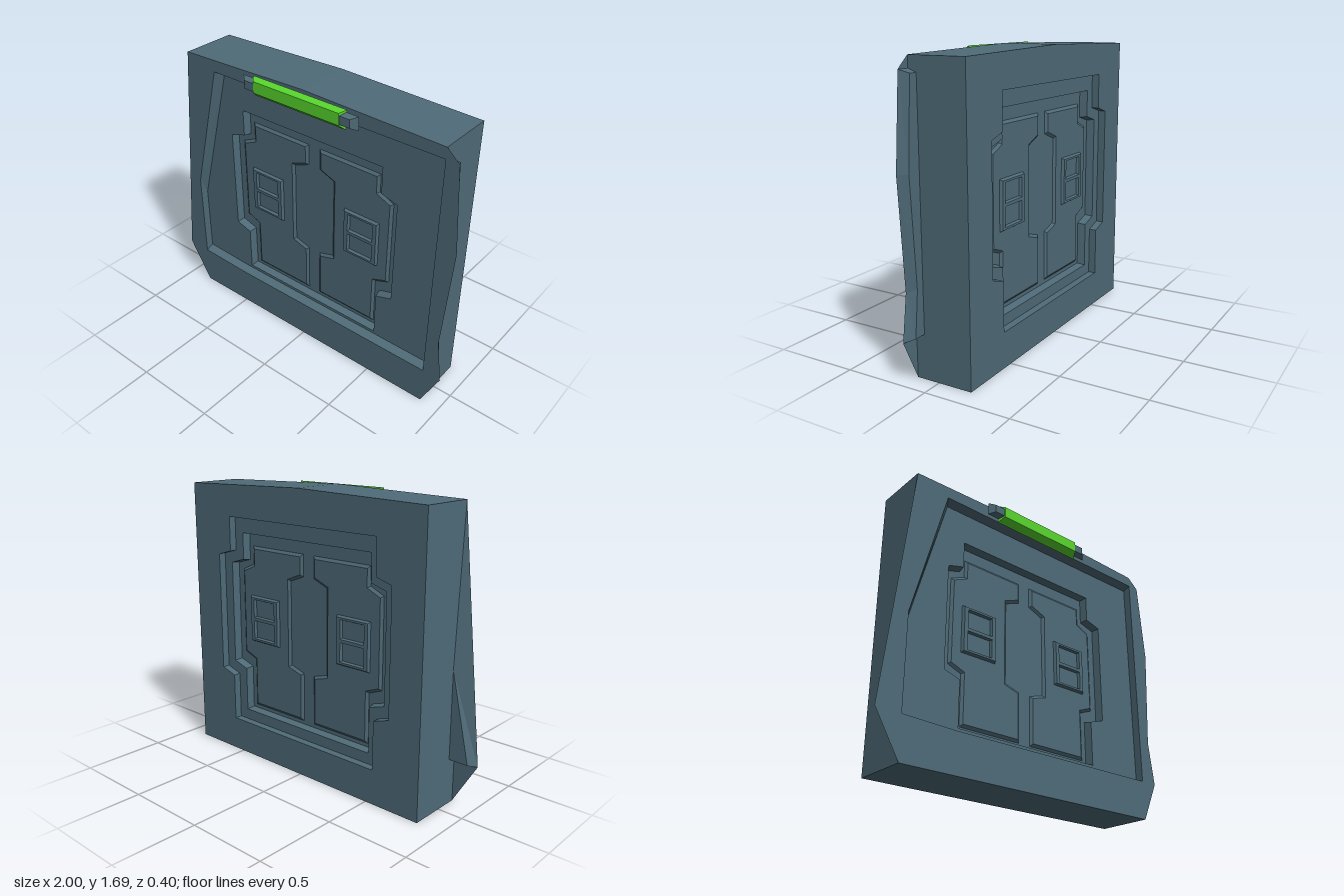
import * as THREE from 'three';
import { mergeGeometries } from 'three/addons/utils/BufferGeometryUtils.js';

const slate = new THREE.MeshStandardMaterial({ name: 'slate metal', color: 0x4f6b78 });
const green = new THREE.MeshStandardMaterial({ name: 'green light', color: 0x58d62d });

const geometryFrom = (pos) => {
  const g = new THREE.BufferGeometry();
  g.setAttribute('position', new THREE.Float32BufferAttribute(pos, 3));
  g.computeVertexNormals();
  return g;
};

// Wall between two matching counter-clockwise outlines; inward for recesses
function wall(back, zb, front, zf, inward = false) {
  const pos = [];
  back.forEach((b, i) => {
    const j = (i + 1) % back.length;
    const q = [[...b, zb], [...back[j], zb], [...front[j], zf], [...front[i], zf]];
    const order = inward ? [0, 2, 1, 0, 3, 2] : [0, 1, 2, 0, 2, 3];
    order.forEach((k) => pos.push(...q[k]));
  });
  return geometryFrom(pos);
}

// Flat face at z with optional holes, facing front or back
function face(pts, z, holes = [], toBack = false) {
  const v = (p) => p.map(([x, y]) => new THREE.Vector2(x, y));
  const outline = v(pts), cuts = holes.map((h) => v(h).reverse());
  const all = [outline, ...cuts].flat();
  const pos = [];
  THREE.ShapeUtils.triangulateShape(outline, cuts).forEach(([a, b, c]) => {
    const A = all[a], B = all[b], C = all[c];
    const ccw = (B.x - A.x) * (C.y - A.y) - (B.y - A.y) * (C.x - A.x) > 0;
    const tri = ccw !== toBack ? [A, B, C] : [A, C, B];
    tri.forEach((p) => pos.push(p.x, p.y, z));
  });
  return geometryFrom(pos);
}

// Move every edge of a counter-clockwise outline inward by d
function inset(pts, d) {
  const n = pts.length;
  const normal = (p, q) => {
    const x = q[0] - p[0], y = q[1] - p[1], l = Math.hypot(x, y);
    return [-y / l, x / l];
  };
  return pts.map((p, i) => {
    const a = normal(pts[(i + n - 1) % n], p), b = normal(p, pts[(i + 1) % n]);
    const k = d / (1 + a[0] * b[0] + a[1] * b[1]);
    return [p[0] + (a[0] + b[0]) * k, p[1] + (a[1] + b[1]) * k];
  });
}

const rect = (x0, y0, x1, y1) => [[x0, y0], [x1, y0], [x1, y1], [x0, y1]];
const mirror = (pts) => pts.map(([x, y]) => [-x, y]).reverse();

function mesh(name, material, ...parts) {
  const m = new THREE.Mesh(mergeGeometries(parts), material);
  m.name = name;
  return m;
}

// Raised relief on one side of the door, centred on x = 0
function doorDetails(name) {
  const group = new THREE.Group();
  group.name = name;
  const leaf = [[0.04, 0.3], [0.45, 0.3], [0.45, 0.6], [0.54, 0.635], [0.54, 1.16], [0.45, 1.2],
    [0.45, 1.31], [0.04, 1.31], [0.04, 1.18], [0.14, 1.14], [0.14, 0.63], [0.04, 0.6]];
  const frame = rect(0.225, 0.72, 0.465, 1.01);
  const panes = [rect(0.26, 0.742, 0.43, 0.856), rect(0.26, 0.875, 0.43, 0.988)];
  for (const side of [1, -1]) {
    const s = (p) => (side > 0 ? p : mirror(p));
    const label = side > 0 ? 'left' : 'right';
    const top = inset(s(leaf), 0.016);
    group.add(mesh(label + 'DoorPanel', slate, wall(s(leaf), 0, top, 0.012), face(top, 0.012)));
    const rim = inset(s(frame), 0.01), cuts = panes.map(s);
    group.add(mesh(label + 'WindowFrame', slate,
      wall(s(frame), 0.01, rim, 0.028),
      face(rim, 0.028, cuts),
      ...cuts.map((c) => wall(inset(c, 0.006), 0.012, c, 0.028, true))));
  }
  return group;
}

export function createModel() {
  const model = new THREE.Group();

  const body = [[-0.85, 0], [0.88, 0], [0.88, 1.665], [0.01, 1.688], [-0.85, 1.665]];
  const plate = [[-0.85, 0], [0.88, 0], [0.99, 0.23], [0.955, 0.49], [0.995, 1.1], [0.955, 1.6],
    [0.88, 1.665], [0.01, 1.688], [-0.85, 1.665], [-1, 0.25]];
  const recess = [[-0.85, 0.245], [-0.52, 0.233], [0.878, 0.233], [0.878, 1.6], [-0.64, 1.6], [-0.85, 0.8]];
  const recessFloor = [[-0.85, 0.265], [-0.52, 0.252], [0.878, 0.252], [0.878, 1.58], [-0.61, 1.58], [-0.85, 0.69]];

  // Side flanges behind the front plate: outline at the plate, then at the back
  const flanges = {
    leftFlange: [
      [[0.88, 0.233], [0.99, 0.23], [0.955, 0.49], [0.995, 1.1], [0.955, 1.6], [0.88, 1.6]],
      [[0.88, 0.25], [0.95, 0.25], [0.925, 0.505], [0.96, 1.1], [0.93, 1.582], [0.88, 1.582]]],
    rightFlange: [
      [[-0.85, 0.245], [-0.85, 1.665], [-1, 0.25]],
      [[-0.85, 0.265], [-0.85, 0.78], [-0.965, 0.265]]],
  };

  // Doorway outline, symmetric about x = 0.01
  const half = [[0.49, 0.27], [0.49, 0.54], [0.592, 0.572], [0.592, 1.2], [0.49, 1.23], [0.49, 1.39]];
  const doorway = [...half, ...mirror(half)].map(([x, y]) => [x + 0.01, y]);
  const inner = inset(doorway, 0.008);
  const backOpening = inset(doorway, -0.065).map(([x, y]) => [x, y > 1.4 ? y + 0.03 : y]);

  const zBack = -0.2, zFront = 0.135, zFloor = 0.085, zDoor = 0.036, zLedge = -0.155, zDoorBack = -0.107;

  model.add(mesh('wallBlock', slate,
    wall(body, zBack, body, zFront),
    face(body, zBack, [backOpening], true)));

  // Thin plate, seen from both sides where it overhangs the block
  model.add(mesh('frontPlate', slate,
    face(plate, zFront, [recess]),
    face(plate, zFront, [recess], true)));

  for (const [name, [front, back]] of Object.entries(flanges)) {
    model.add(mesh(name, slate, wall(back, zFloor, front, zFront), face(back, zFloor, [], true)));
  }

  model.add(mesh('frontRecess', slate,
    wall(recessFloor, zFloor, recess, zFront, true),
    face(recessFloor, zFloor, [doorway])));

  model.add(mesh('doorwaySurround', slate,
    wall(inner, zDoor, doorway, zFloor, true),
    wall(backOpening, zBack, backOpening, zLedge, true),
    face(backOpening, zLedge, [doorway], true),
    wall(doorway, zLedge, inner, zDoorBack, true)));

  model.add(mesh('door', slate, face(inner, zDoor), face(inner, zDoorBack, [], true)));

  const front = doorDetails('frontDoorDetails');
  front.position.set(0.01, 0, zDoor);
  const back = doorDetails('backDoorDetails');
  back.position.set(0.01, 0, zDoorBack);
  back.rotation.y = Math.PI;
  model.add(front, back);

  // Light bar above the door with a bracket at each end
  const bevelBlock = (name, material, b, f, z0, z1) =>
    mesh(name, material, wall(b, z0, f, z1), face(f, z1), face(b, z0, [], true));
  const lampBack = [[-0.3, 1.572], [0.32, 1.572], [0.325, 1.685], [-0.305, 1.685]];
  const lampFront = [[-0.275, 1.605], [0.3, 1.605], [0.3, 1.672], [-0.275, 1.672]];
  model.add(bevelBlock('lightBar', green, lampBack, lampFront, 0.163, 0.2));
  for (const s of [1, -1]) {
    const place = (p) => (s > 0 ? p : mirror(p)).map(([x, y]) => [x + 0.012, y]);
    model.add(bevelBlock(s > 0 ? 'leftBracket' : 'rightBracket', slate,
      place(rect(0.28, 1.595, 0.388, 1.672)), place(rect(0.28, 1.61, 0.355, 1.658)), 0.165, 0.197));
  }
  return model;
}
